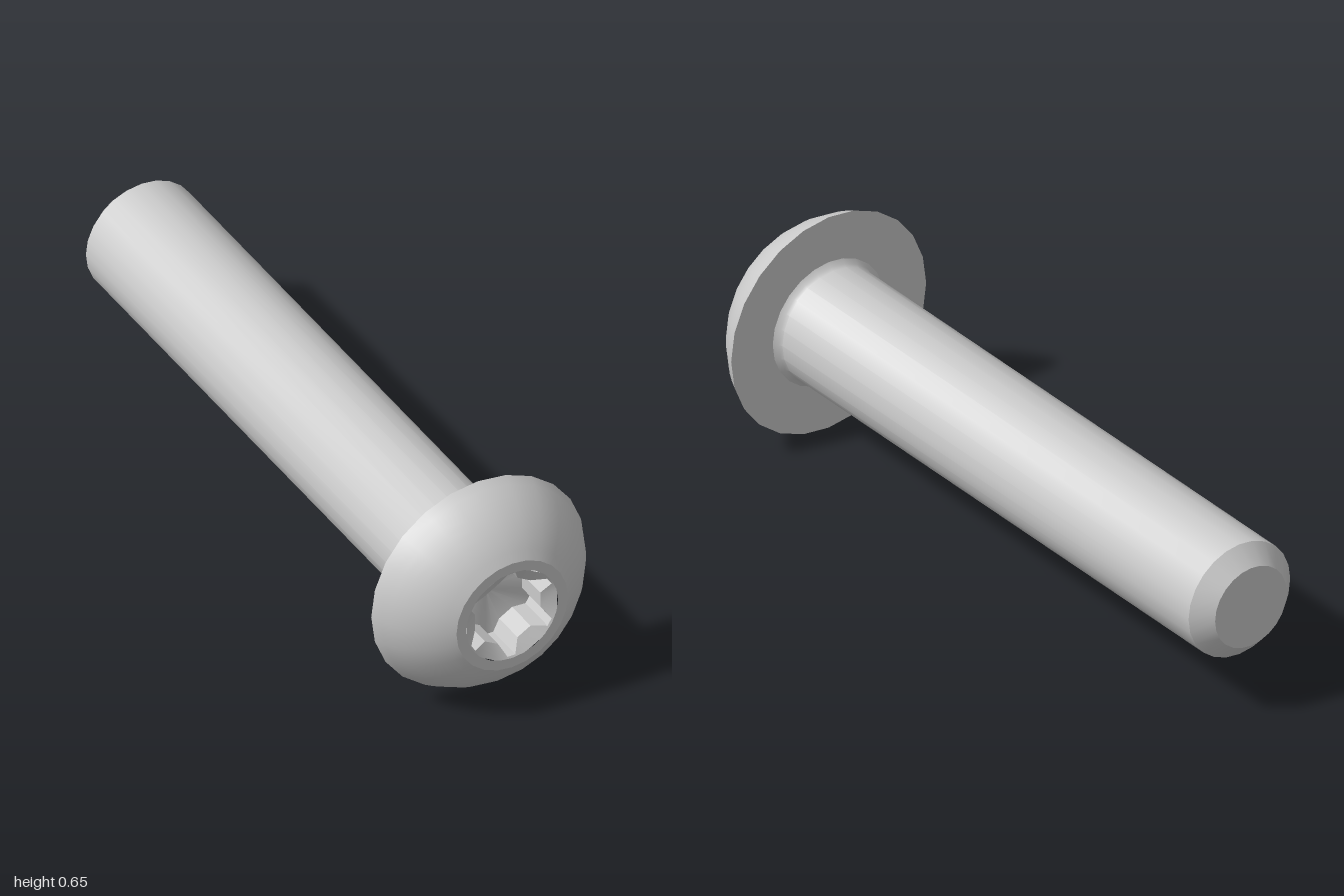
import * as THREE from 'three';
import { toCreasedNormals } from 'three/addons/utils/BufferGeometryUtils.js';

const SIDES = 24;
const AXIS_Y = 0.326;
const material = new THREE.MeshStandardMaterial({ color: 0xcccccc });

function part(name, geometry, crease = 0.5) {
  const mesh = new THREE.Mesh(toCreasedNormals(geometry, crease), material);
  mesh.name = name;
  return mesh;
}

// Turned part: [radius, z] pairs from back to front, revolved round the z axis
function turned(name, profile) {
  const points = profile.map(([r, z]) => new THREE.Vector2(r, z));
  return part(name, new THREE.LatheGeometry(points, SIDES).rotateX(Math.PI / 2));
}

// Six-lobed recess lofted inward from the circular mouth to a shallow cone floor
function socketGeometry() {
  const outline = [];
  for (let lobe = 0; lobe < 6; lobe++) {
    for (const [deg, r] of [[-5, 0.135], [5, 0.135], [17, 0.102], [43, 0.102]]) {
      outline.push([THREE.MathUtils.degToRad(30 + lobe * 60 + deg), r]);
    }
  }
  const mouth = 0.141;
  const rings = [
    () => [mouth, 1],
    (r) => [r, 1 - (mouth - r) * 0.6],
    (r) => [r, 0.88],
    () => [0, 0.86],
  ];
  const n = outline.length, positions = [], index = [];
  rings.forEach((ring, i) => outline.forEach(([angle, radius], j) => {
    const [r, z] = ring(radius);
    positions.push(r * Math.cos(angle), r * Math.sin(angle), z);
    if (i === rings.length - 1) return;
    const a = i * n + j, b = i * n + (j + 1) % n;
    index.push(a, b, a + n);
    if (i < rings.length - 2) index.push(b, b + n, a + n);
  }));
  const geometry = new THREE.BufferGeometry();
  geometry.setAttribute('position', new THREE.Float32BufferAttribute(positions, 3));
  geometry.setIndex(index);
  return geometry;
}

export function createModel() {
  const screw = new THREE.Group();
  screw.name = 'screw';

  // Shaft with chamfered tip and a small fillet below the head
  screw.add(turned('shaft', [
    [0, -1], [0.12, -1], [0.17, -0.95], [0.17, 0.8], [0.175, 0.81], [0.187, 0.82],
  ]));

  // Domed head: flat underside, spherical crown, flat front ring
  const head = [[0.187, 0.82], [0.326, 0.82]];
  const centre = 0.697, R = 0.3475, steps = 8;
  const start = Math.asin((0.82 - centre) / R), end = Math.asin((1 - centre) / R);
  for (let i = 1; i <= steps; i++) {
    const t = start + (end - start) * i / steps;
    head.push([R * Math.cos(t), centre + R * Math.sin(t)]);
  }
  head.push([0.14, 1]);
  screw.add(turned('head', head));

  // Drive recess
  screw.add(part('driveSocket', socketGeometry(), 0.4));

  screw.position.y = AXIS_Y;
  const model = new THREE.Group();
  model.name = 'buttonHeadScrew';
  model.add(screw);
  return model;
}
